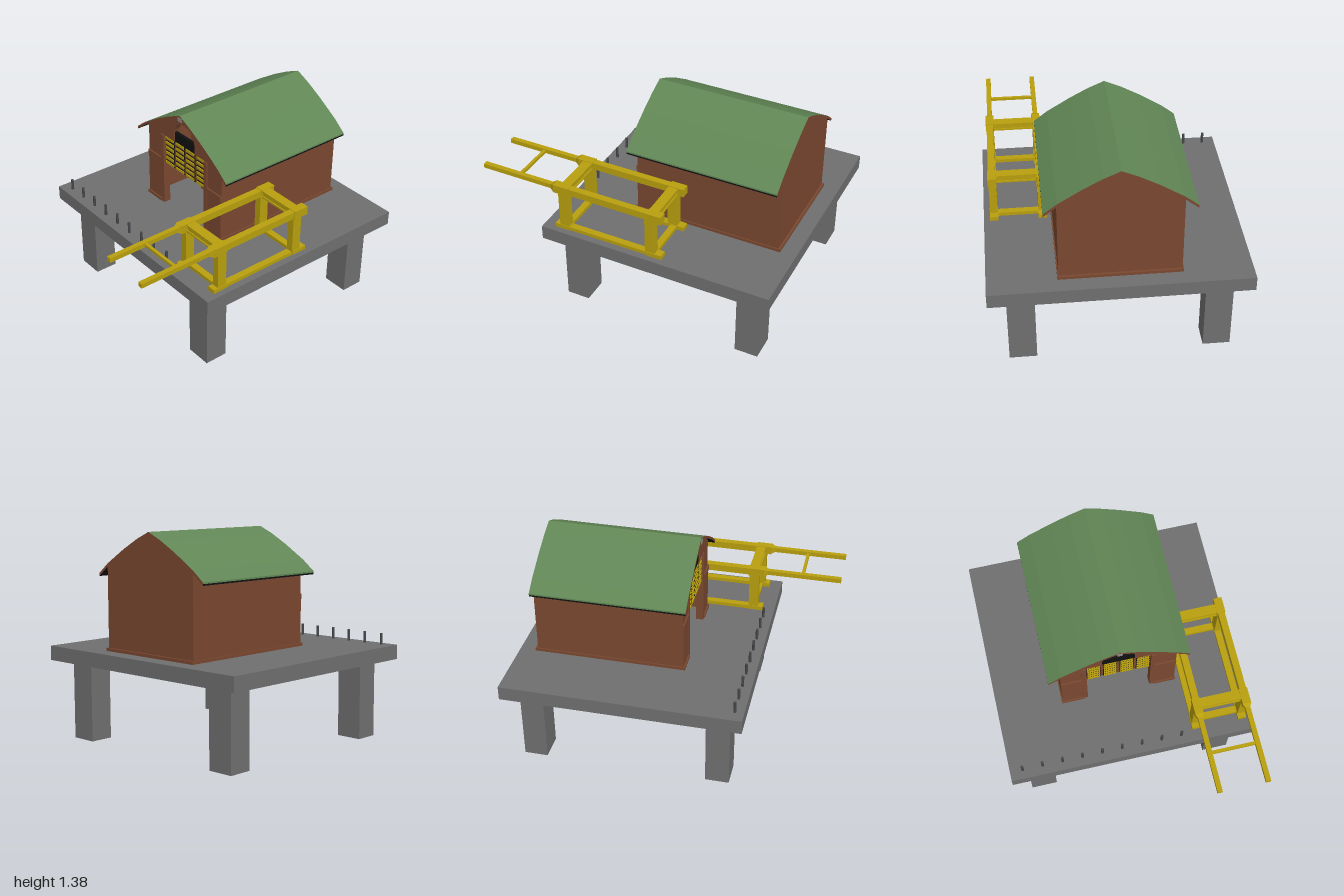
import * as THREE from 'three';

const mat = (name, color, opts = {}) => {
  const m = new THREE.MeshStandardMaterial({ color, flatShading: true, ...opts });
  m.name = name;
  return m;
};

export function createModel() {
  const concrete = mat('concrete grey', 0x6f6f6f);
  const brick = mat('brick brown', 0x7a4830);
  const roofGreen = mat('roof green', 0x618655);
  const yellow = mat('crane yellow', 0xb9a00e);
  const doorOrange = mat('door orange', 0x82390b);
  const black = mat('black', 0x111111);
  const steel = mat('dark steel', 0x44474a);
  const lightGrey = mat('light grey', 0x8a8a8a);

  const root = new THREE.Group();
  const group = (name) => {
    const g = new THREE.Group();
    g.name = name;
    root.add(g);
    return g;
  };
  const add = (parent, name, geo, material) => {
    const m = new THREE.Mesh(geo, material);
    m.name = name;
    parent.add(m);
    return m;
  };
  // box given by its extents
  const box = (parent, name, material, x0, x1, y0, y1, z0, z1) => {
    const m = add(parent, name, new THREE.BoxGeometry(x1 - x0, y1 - y0, z1 - z0), material);
    m.position.set((x0 + x1) / 2, (y0 + y1) / 2, (z0 + z1) / 2);
    return m;
  };
  // shape in x/y pulled from z0 to z1
  const extrude = (parent, name, shape, z0, z1, material) => {
    const geo = new THREE.ExtrudeGeometry(shape, { depth: z1 - z0, bevelEnabled: false, curveSegments: 12 });
    geo.translate(0, 0, z0);
    return add(parent, name, geo, material);
  };

  // platform on four square legs
  const F = 0.61;
  const platform = group('platform');
  box(platform, 'deck', concrete, -0.82, 0.82, 0.515, F, -1, 0.56);
  for (const x of [-0.705, 0.53])
    for (const z of [-0.905, 0.315])
      box(platform, 'leg', concrete, x, x + 0.175, 0, 0.52, z, z + 0.155);

  // row of bollards along the front edge
  const bollards = group('bollards');
  for (let i = 0; i < 9; i++) {
    const b = add(bollards, 'bollard', new THREE.CylinderGeometry(0.009, 0.009, 0.075, 10), steel);
    b.position.set(-0.735 + i * 0.1337, F + 0.0375, 0.5);
  }

  // roof profile, right half from ridge to eave
  const half = [[0, 1.375], [0.105, 1.328], [0.225, 1.262], [0.375, 1.168], [0.46, 1.1]];
  const profile = [...half.slice(1).reverse().map(([x, y]) => [-x, y]), ...half];
  const layer = (top, bottom) => new THREE.Shape([
    ...profile.map(([x, y]) => new THREE.Vector2(x, y - bottom)),
    ...profile.slice().reverse().map(([x, y]) => new THREE.Vector2(x, y - top)),
  ]);
  const roof = group('roof');
  extrude(roof, 'roofCovering', layer(0, 0.01), -0.88, 0.13, [brick, roofGreen]);
  extrude(roof, 'roofSoffit', layer(0.01, 0.02), -0.88, 0.13, [brick, black]);
  box(roof, 'ridgeEnd', lightGrey, -0.018, 0.018, 1.335, 1.36, 0.12, 0.135);

  // gable line under the roof, right to left
  const W = 0.38;
  const gable = [[W, 1.147], [0.225, 1.245], [0.105, 1.311], [0, 1.358],
    [-0.105, 1.311], [-0.225, 1.245], [-W, 1.147]];

  // rear body, hall walls and front wall with arched gateway
  const house = group('house');
  const body = new THREE.Shape([[-W, F], [W, F], ...gable].map(([x, y]) => new THREE.Vector2(x, y)));
  extrude(house, 'rearBody', body, -0.88, -0.24, brick);
  for (const s of [-1, 1])
    box(house, 'hallWall', brick, Math.min(s * W, s * 0.355), Math.max(s * W, s * 0.355), F, 1.147, -0.24, 0.07);

  const front = new THREE.Shape();
  front.moveTo(-W, F);
  front.lineTo(-0.21, F);
  front.lineTo(-0.21, 1.13);
  front.lineTo(-0.105, 1.13);
  front.lineTo(-0.105, 1.185);
  front.absarc(0, 1.185, 0.105, Math.PI, 0, true);
  front.lineTo(0.105, 1.13);
  front.lineTo(0.21, 1.13);
  front.lineTo(0.21, F);
  front.lineTo(W, F);
  gable.forEach(([x, y]) => front.lineTo(x, y));
  extrude(house, 'frontWall', front, 0.055, 0.095, brick);

  // pilasters, raised panels and plinth
  for (const s of [-1, 1]) {
    const side = (name, a, b, y0, y1, z0, z1) =>
      box(house, name, brick, Math.min(s * a, s * b), Math.max(s * a, s * b), y0, y1, z0, z1);
    side('pilaster', 0.21, 0.24, F, 1.13, 0.09, 0.104);
    side('lowerPanel', 0.24, W, F, 0.915, 0.09, 0.1);
    side('ledge', 0.24, W, 0.915, 0.95, 0.09, 0.106);
    side('frontPlinth', 0.235, 0.387, F, 0.63, 0.05, 0.11);
    side('sidePlinth', 0.37, 0.387, F, 0.63, -0.89, 0.06);
  }
  box(house, 'rearPlinth', brick, -0.387, 0.387, F, 0.63, -0.895, -0.87);

  // doors at the back of the hall
  const doors = group('doors');
  for (const [x0, x1] of [[-0.197, -0.11], [-0.092, -0.013], [0.004, 0.083], [0.11, 0.2]])
    box(doors, 'door', doorOrange, x0, x1, F, 0.765, -0.245, -0.2);
  box(doors, 'doorStep', doorOrange, 0.107, 0.185, F, 0.685, -0.2, -0.18);

  // slotted screen hanging in the gateway
  const screen = group('gatewayScreen');
  box(screen, 'screenBacking', brick, -0.21, 0.21, 0.915, 1.13, 0.07, 0.082);
  for (let c = 0; c < 4; c++) {
    const x = -0.161 + c * 0.1075;
    for (let r = 0; r < 6; r++) {
      const y = 0.931 + r * 0.0372;
      box(screen, 'slot', black, x - 0.045, x + 0.045, y - 0.013, y + 0.013, 0.08, 0.086);
      box(screen, 'slotBar', yellow, x - 0.041, x + 0.041, y - 0.0085, y + 0.0085, 0.083, 0.092);
    }
  }
  box(screen, 'archGrille', black, -0.105, 0.105, 1.13, 1.2, 0.07, 0.09);

  // yellow loading gantry beside the house
  const gantry = group('gantry');
  for (const [x0, x1] of [[0.413, 0.468], [0.725, 0.78]]) {
    const xm = (x0 + x1) / 2;
    box(gantry, 'topRail', yellow, xm - 0.022, xm + 0.022, 0.885, 0.932, -0.26, 0.48);
    box(gantry, 'bottomRail', yellow, xm - 0.022, xm + 0.022, F, 0.634, -0.265, 0.48);
    for (const [z0, z1] of [[-0.27, -0.165], [0.375, 0.48]]) {
      box(gantry, 'railEnd', yellow, x0, x1, 0.88, 0.936, z0, z1);
      box(gantry, 'foot', yellow, x0, x1, F, 0.638, z0, z1);
    }
    for (const [z0, z1] of [[-0.223, -0.158], [0.382, 0.447]])
      box(gantry, 'post', yellow, xm - 0.024, xm + 0.024, F, 0.9, z0, z1);
    // tapered joint and long arm reaching past the deck
    const joint = new THREE.CylinderGeometry(0.022, 0.039, 0.025, 4);
    joint.rotateY(Math.PI / 4);
    joint.rotateX(Math.PI / 2);
    add(gantry, 'armJoint', joint, yellow).position.set(xm, 0.91, 0.492);
    box(gantry, 'arm', yellow, xm - 0.016, xm + 0.016, 0.896, 0.926, 0.48, 1.0);
  }
  for (const [z0, z1] of [[-0.232, -0.168], [0.378, 0.442]]) {
    box(gantry, 'topBeamFlange', yellow, 0.46, 0.735, 0.92, 0.932, z0, z1);
    box(gantry, 'topBeamWeb', yellow, 0.46, 0.735, 0.89, 0.925, z0 + 0.008, z1 - 0.008);
    box(gantry, 'topBeamFlange', yellow, 0.46, 0.735, 0.88, 0.892, z0, z1);
    box(gantry, 'bottomBeam', yellow, 0.46, 0.735, F, 0.634, z0 + 0.01, z1 - 0.01);
  }
  box(gantry, 'armCrossbar', yellow, 0.45, 0.745, 0.902, 0.92, 0.73, 0.75);

  return root;
}
